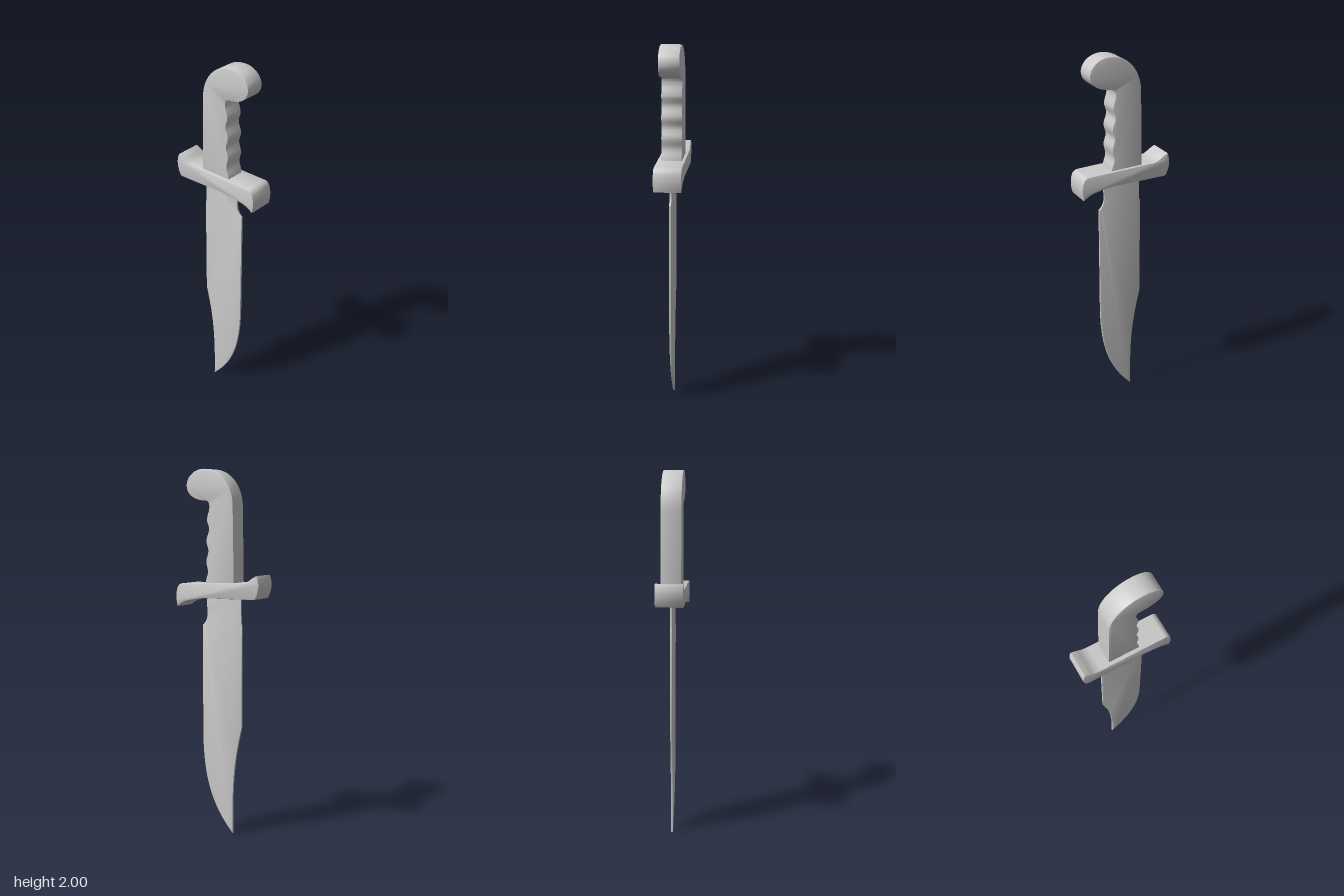
import * as THREE from 'three';
import { toCreasedNormals } from 'three/addons/utils/BufferGeometryUtils.js';

const material = new THREE.MeshStandardMaterial({ color: 0xcccccc, side: THREE.DoubleSide });

// Extrude an outline to a full thickness centred on z, keeping the outline size
function slab(name, shape, thickness, bevel, bevelSize, z = 0) {
  const geo = new THREE.ExtrudeGeometry(shape, {
    depth: thickness - 2 * bevel,
    bevelEnabled: true,
    bevelThickness: bevel,
    bevelSize,
    bevelOffset: -bevelSize,
    bevelSegments: 2,
    curveSegments: 14,
  });
  geo.translate(0, 0, -thickness / 2 + bevel + z);
  const mesh = new THREE.Mesh(toCreasedNormals(geo, 0.6), material);
  mesh.name = name;
  return mesh;
}

// Clip-point blade with a small notch below the guard
function bladeShape() {
  const s = new THREE.Shape();
  s.moveTo(-0.065, 0);
  s.bezierCurveTo(0.06, 0.13, 0.125, 0.28, 0.127, 0.55);
  s.lineTo(0.129, 1.16);
  s.quadraticCurveTo(0.097, 1.18, 0.098, 1.23);
  s.lineTo(0.105, 1.34);
  s.lineTo(-0.114, 1.34);
  s.lineTo(-0.115, 1.18);
  s.lineTo(-0.121, 1.17);
  s.lineTo(-0.121, 0.61);
  s.bezierCurveTo(-0.075, 0.42, -0.06, 0.3, -0.065, 0);
  return s;
}

// Cross guard, one end turned up and the other turned down
function guardShape() {
  const s = new THREE.Shape();
  s.moveTo(-0.225, 1.315);
  s.lineTo(0.08, 1.312);
  s.bezierCurveTo(0.17, 1.3, 0.21, 1.295, 0.248, 1.262);
  s.quadraticCurveTo(0.262, 1.31, 0.253, 1.35);
  s.quadraticCurveTo(0.245, 1.388, 0.215, 1.388);
  s.lineTo(-0.14, 1.4);
  s.bezierCurveTo(-0.2, 1.4, -0.2, 1.425, -0.247, 1.442);
  s.quadraticCurveTo(-0.272, 1.39, -0.243, 1.328);
  s.quadraticCurveTo(-0.238, 1.315, -0.225, 1.315);
  return s;
}

// Grip with finger grooves and a hooked pommel
function handleShape() {
  const s = new THREE.Shape();
  s.moveTo(-0.1, 1.385);
  s.lineTo(0.08, 1.385);
  s.splineThru([
    [0.075, 1.41], [0.063, 1.455], [0.073, 1.51], [0.06, 1.565], [0.072, 1.62],
    [0.056, 1.68], [0.068, 1.73], [0.056, 1.78],
  ].map(([x, y]) => new THREE.Vector2(x, y)));
  s.bezierCurveTo(0.05, 1.81, 0.055, 1.832, 0.08, 1.832);
  s.bezierCurveTo(0.14, 1.833, 0.195, 1.86, 0.197, 1.912);
  s.bezierCurveTo(0.197, 1.96, 0.15, 2, 0.09, 2);
  s.bezierCurveTo(-0.02, 2, -0.092, 1.91, -0.093, 1.8);
  s.lineTo(-0.1, 1.385);
  return s;
}

export function createModel() {
  const model = new THREE.Group();
  model.name = 'knife';
  model.add(
    slab('blade', bladeShape(), 0.012, 0.003, 0.004),
    slab('guard', guardShape(), 0.148, 0.004, 0.004),
    slab('handle', handleShape(), 0.11, 0.004, 0.004, -0.002),
  );
  return model;
}
